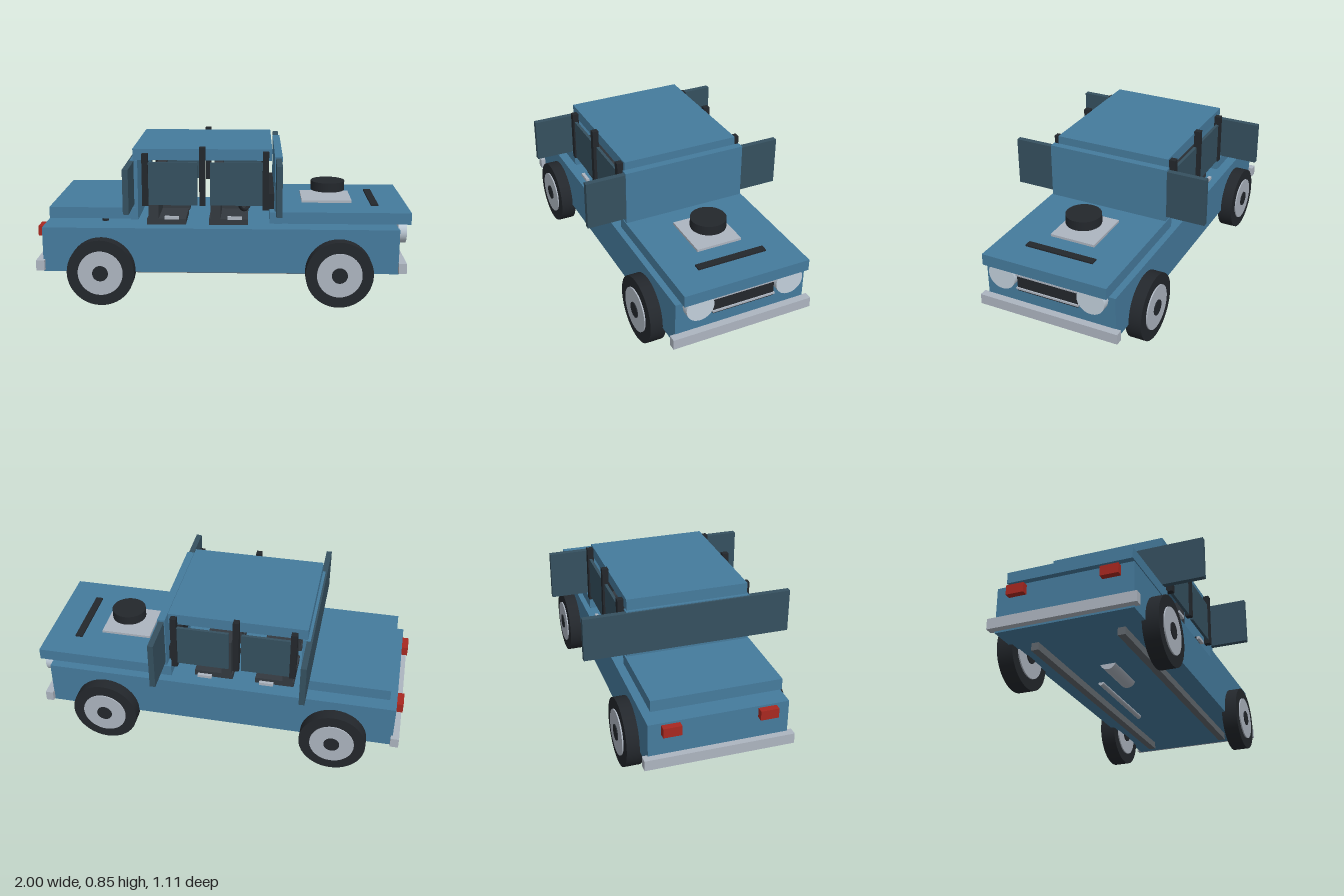
import * as THREE from 'three';

const mat = (color) => new THREE.MeshStandardMaterial({ color });

export function createModel() {
  const car = new THREE.Group();
  car.name = 'car';
  const paint = mat(0x457b9d), glass = mat(0x35505f), dark = mat(0x23272c), seat = mat(0x33393f);
  const chrome = mat(0xadb5c0), steel = mat(0x60666c), lamp = mat(0xc3d0dc), red = mat(0xa82820);

  const add = (name, geometry, material, parent = car) => {
    const mesh = new THREE.Mesh(geometry, material);
    mesh.name = name;
    parent.add(mesh);
    return mesh;
  };
  // Box given by its limits on each axis
  const box = (name, m, x0, x1, y0, y1, z0, z1) => {
    const b = add(name, new THREE.BoxGeometry(x1 - x0, y1 - y0, z1 - z0), m);
    b.position.set((x0 + x1) / 2, (y0 + y1) / 2, (z0 + z1) / 2);
    return b;
  };
  // Cylinder along a chosen axis
  const cyl = (name, m, r, length, axis, x, y, z, parent = car) => {
    const g = new THREE.CylinderGeometry(r, r, length, 40);
    if (axis === 'x') g.rotateZ(Math.PI / 2);
    if (axis === 'z') g.rotateX(Math.PI / 2);
    const c = add(name, g, m, parent);
    c.position.set(x, y, z);
    return c;
  };

  // Bodywork
  box('body', paint, -0.965, 0.94, 0.17, 0.413, -0.363, 0.363);
  box('hood', paint, 0.25, 1.0, 0.44, 0.502, -0.345, 0.345);
  box('trunkLid', paint, -0.925, -0.45, 0.46, 0.52, -0.338, 0.338);
  box('roof', paint, -0.475, 0.26, 0.775, 0.835, -0.323, 0.323);
  box('windshieldFrame', paint, 0.275, 0.315, 0.437, 0.8, -0.34, 0.34);
  box('rearWall', paint, -0.49, -0.45, 0.452, 0.775, -0.33, 0.33);

  // Wide glass panels
  box('windshield', glass, 0.28, 0.31, 0.527, 0.79, -0.555, 0.555);
  box('rearWindow', glass, -0.5, -0.47, 0.537, 0.77, -0.555, 0.555);

  // Hood fittings and engine bay
  box('intakePlate', chrome, 0.43, 0.705, 0.5, 0.515, -0.125, 0.125);
  cyl('airFilter', dark, 0.094, 0.051, 'y', 0.579, 0.578, 0);
  box('radiator', dark, 0.803, 0.843, 0.41, 0.51, -0.19, 0.19);
  box('engineBlock', steel, 0.41, 0.63, 0.41, 0.442, -0.14, 0.14);
  box('battery', dark, 0.63, 0.803, 0.41, 0.435, -0.1, 0.1);
  cyl('fuelCap', dark, 0.018, 0.015, 'y', -0.647, 0.418, 0.2);

  // Nose and tail
  box('grille', dark, 0.94, 0.965, 0.318, 0.405, -0.17, 0.17);
  for (const y of [0.411, 0.333])
    box('grilleBar', chrome, 0.94, 0.972, y - 0.005, y + 0.005, -0.175, 0.175);
  box('frontBumper', chrome, 0.938, 0.98, 0.18, 0.236, -0.39, 0.39);
  box('rearBumper', chrome, -1.0, -0.955, 0.18, 0.236, -0.39, 0.39);

  // Cabin
  box('dashboard', dark, 0.245, 0.28, 0.5, 0.587, -0.278, 0.278);
  const wheel = add('steeringWheel', new THREE.TorusGeometry(0.08, 0.009, 12, 36), dark);
  wheel.position.set(0.12, 0.55, 0.16);
  wheel.rotation.set(0, 1.1, 0);
  const column = cyl('steeringColumn', dark, 0.01, 0.15, 'x', 0.185, 0.545, 0.16);
  column.rotation.z = -0.1;

  // Underside
  cyl('muffler', chrome, 0.045, 0.27, 'x', -0.3, 0.185, 0);
  cyl('exhaustPipe', chrome, 0.015, 0.55, 'x', 0.05, 0.168, -0.133);

  // Parts repeated on both sides
  for (const s of [-1, 1]) {
    const sideBox = (name, m, x0, x1, y0, y1, z, width) =>
      box(name, m, x0, x1, y0, y1, s * z - width / 2, s * z + width / 2);

    sideBox('rearPillar', dark, -0.425, -0.392, 0.535, 0.813, 0.339, 0.034);
    sideBox('middlePillar', dark, -0.122, -0.09, 0.535, 0.848, 0.339, 0.034);
    sideBox('frontPillar', dark, 0.211, 0.244, 0.515, 0.825, 0.339, 0.034);
    sideBox('rearSideWindow', glass, -0.392, -0.133, 0.537, 0.767, 0.34, 0.016);
    sideBox('frontSideWindow', glass, -0.066, 0.211, 0.537, 0.767, 0.34, 0.016);
    for (const x of [-0.27, 0.065])
      sideBox('doorHandle', chrome, x - 0.038, x + 0.038, 0.46, 0.476, 0.344, 0.018);
    for (const x of [-0.41, -0.075]) {
      sideBox('seatCushion', seat, x, x + 0.21, 0.41, 0.445, 0.16, 0.24);
      sideBox('seatBack', seat, x + 0.008, x + 0.062, 0.44, 0.66, 0.16, 0.24);
    }
    cyl('headlight', lamp, 0.075, 0.045, 'x', 0.96, 0.392, s * 0.249);
    sideBox('tailLight', red, -1.0, -0.96, 0.35, 0.402, 0.249, 0.095);
    sideBox('chassisRail', steel, -0.8, 0.8, 0.13, 0.175, 0.231, 0.04);

    // Wheels
    for (const x of [-0.648, 0.622]) {
      const w = new THREE.Group();
      w.name = 'wheel';
      w.position.set(x, 0.182, s * 0.387);
      cyl('tyre', dark, 0.18, 0.086, 'z', 0, 0, 0, w);
      cyl('rim', chrome, 0.12, 0.1, 'z', 0, 0, 0, w);
      cyl('hubCap', dark, 0.042, 0.11, 'z', 0, 0, 0, w);
      car.add(w);
    }
  }
  return car;
}
